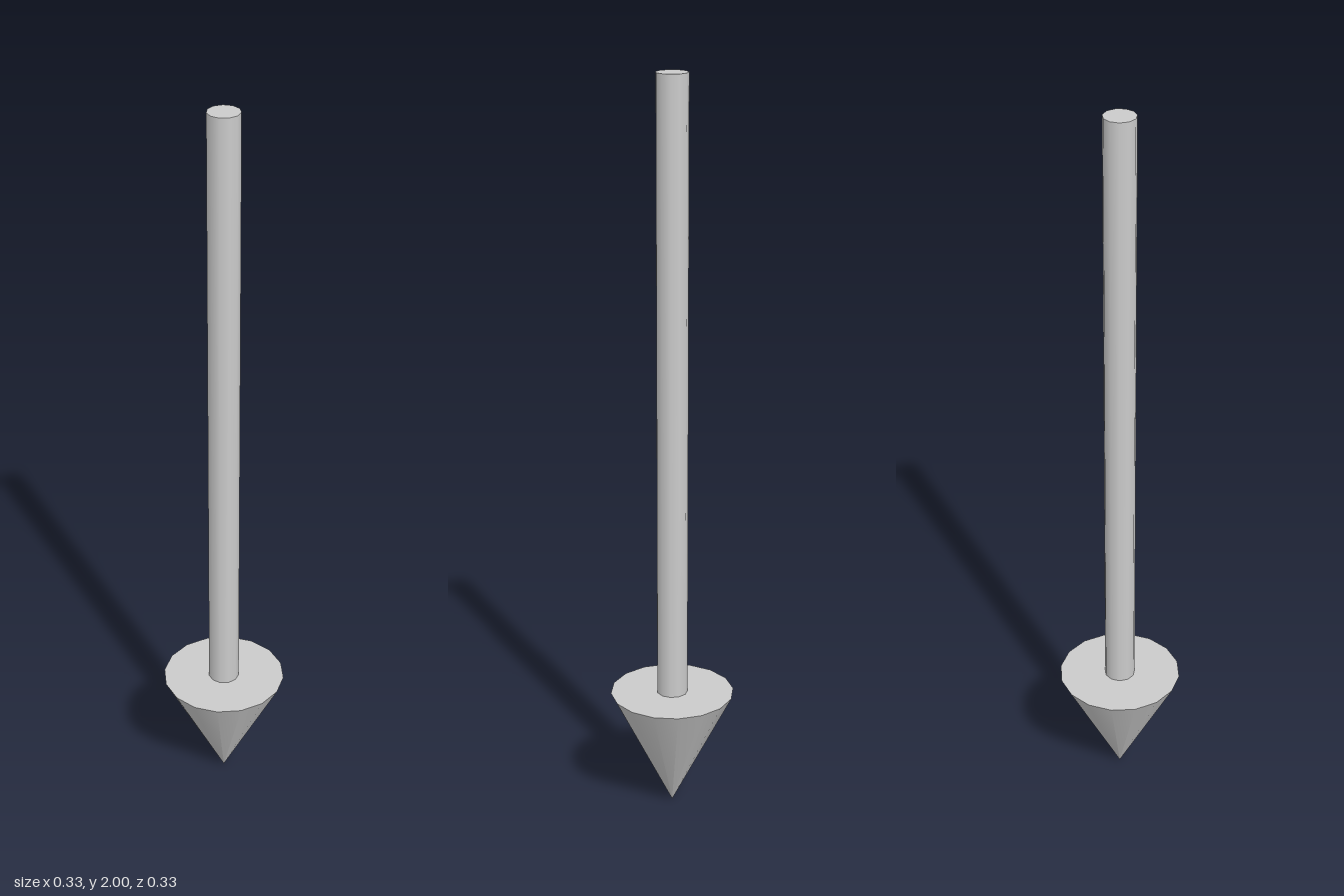
import * as THREE from 'three';

const HEAD_HEIGHT = 0.333;
const TOTAL_HEIGHT = 2;

// Upright round part spanning y0..y1, with a corner of its outline on +x
function roundPart(name, topRadius, bottomRadius, y0, y1, sides, material) {
  const geometry = new THREE.CylinderGeometry(
    topRadius, bottomRadius, y1 - y0, sides, 1, false, Math.PI / 2);
  const mesh = new THREE.Mesh(geometry, material);
  mesh.name = name;
  mesh.position.y = (y0 + y1) / 2;
  return mesh;
}

export function createModel() {
  const model = new THREE.Group();
  model.name = 'downArrow';
  const grey = new THREE.MeshStandardMaterial({ color: 0xcccccc });

  // Cone-shaped head with its tip on the ground
  model.add(roundPart('arrowHead', 0.167, 0, 0, HEAD_HEIGHT, 16, grey));
  // Slim shaft rising from the flat back of the head
  model.add(roundPart('shaft', 0.0417, 0.0417, HEAD_HEIGHT, TOTAL_HEIGHT, 11, grey));

  return model;
}
